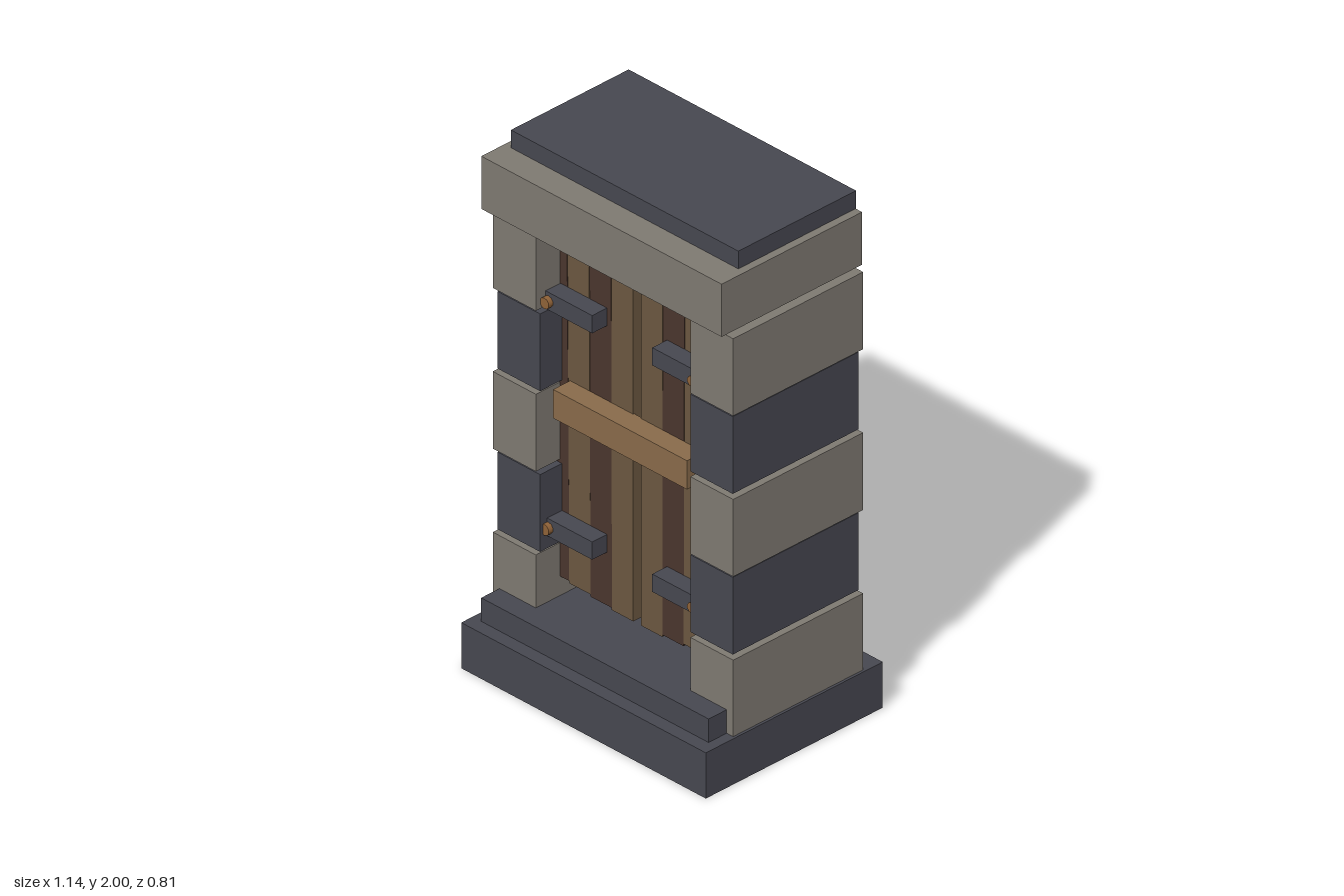
import * as THREE from 'three';

const mat = (name, color) => {
  const m = new THREE.MeshStandardMaterial({ color });
  m.name = name;
  return m;
};

export function createModel() {
  const paleStone = mat('pale stone', 0x7e7971);
  const darkStone = mat('dark stone', 0x464750);
  const shadow = mat('near-black backing', 0x20202a);
  const lightWood = mat('light wood', 0x6b5740);
  const darkWood = mat('dark wood', 0x4a352d);
  const barWood = mat('bar wood', 0x886a4a);
  const copper = mat('copper', 0x8f6238);

  const model = new THREE.Group();
  model.name = 'stoneDoorway';

  // Box given by its extents on each axis
  const box = (name, material, [x0, x1], [y0, y1], [z0, z1]) => {
    const mesh = new THREE.Mesh(new THREE.BoxGeometry(x1 - x0, y1 - y0, z1 - z0), material);
    mesh.position.set((x0 + x1) / 2, (y0 + y1) / 2, (z0 + z1) / 2);
    mesh.name = name;
    model.add(mesh);
    return mesh;
  };

  // Plinth and threshold
  box('plinth', darkStone, [-0.57, 0.57], [0, 0.175], [-0.405, 0.405]);
  box('threshold', darkStone, [-0.53, 0.53], [0.175, 0.265], [-0.353, 0.353]);

  // Lintel and capstone
  box('lintel', paleStone, [-0.56, 0.56], [1.73, 1.932], [-0.32, 0.323]);
  box('capstone', darkStone, [-0.53, 0.53], [1.932, 2], [-0.322, 0.217]);

  // Dark panel closing the back
  box('backPanel', shadow, [-0.44, 0.44], [0.175, 1.68], [-0.39, -0.318]);

  for (const [side, s] of [['left', 1], ['right', -1]]) {
    const span = (a, b) => (s > 0 ? [a, b] : [-b, -a]);

    // Jamb of alternating blocks with thin open joints
    for (let i = 0; i < 5; i++) {
      const y = 0.172 + i * 0.308;
      const pale = i % 2 === 0;
      box(`${side}JambBlock${i + 1}`, pale ? paleStone : darkStone,
        pale ? span(0.36, 0.56) : span(0.35, 0.548), [y, y + 0.296],
        pale ? [-0.325, 0.27] : [-0.315, 0.26]);
    }

    // Door leaf: planks get shorter towards the jamb
    for (let i = 0; i < 4; i++) {
      const x = 0.018 + i * 0.101;
      const plank = box(`${side}Plank${i + 1}`, i % 2 ? darkWood : lightWood,
        span(x, x + 0.1), [0.316 + i * 0.008, 1.676 - i * 0.008], [0.077, 0.16]);
      plank.rotation.z = -s * 0.003 * i;
    }

    // Strap hinges with rivets
    for (const [place, y] of [['Lower', 0.562], ['Upper', 1.43]]) {
      box(`${side}${place}Hinge`, darkStone, span(0.14, 0.357), [y - 0.034, y + 0.034], [0.155, 0.228]);
      const rivet = new THREE.Mesh(new THREE.CylinderGeometry(0.021, 0.021, 0.045, 10), copper);
      rivet.rotation.x = Math.PI / 2;
      rivet.position.set(s * 0.343, y, 0.225);
      rivet.name = `${side}${place}Rivet`;
      model.add(rivet);
    }
  }

  // Bar across both leaves
  box('doorBar', barWood, [-0.312, 0.312], [1.0, 1.11], [0.155, 0.238]);

  return model;
}
